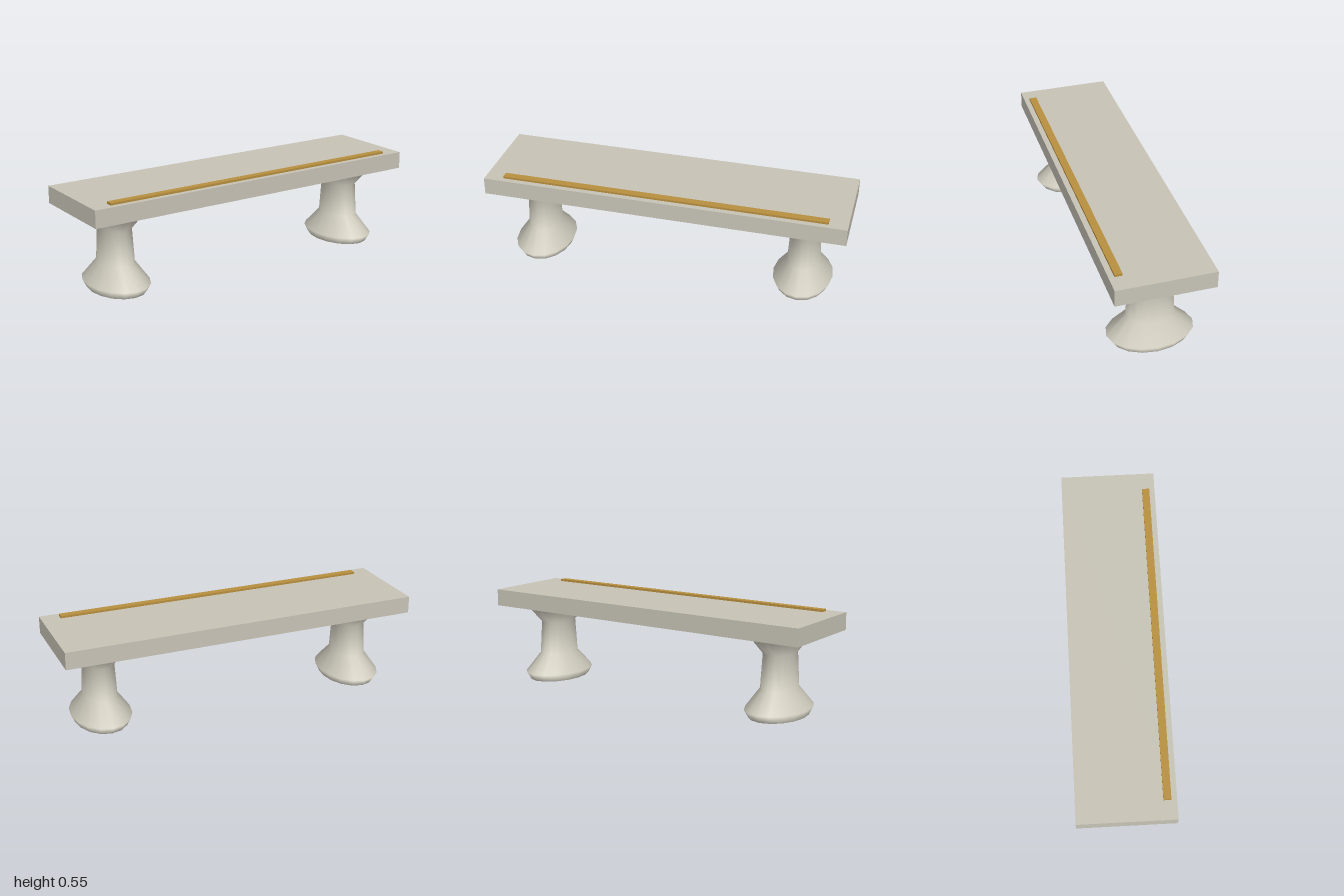
import * as THREE from 'three';

export function createModel() {
  const slabStone = new THREE.MeshStandardMaterial({ color: 0xc8c4b7 });
  slabStone.name = 'slabStone';
  const legStone = new THREE.MeshStandardMaterial({ color: 0xd9d5c7, side: THREE.DoubleSide });
  legStone.name = 'legStone';
  const brass = new THREE.MeshStandardMaterial({ color: 0xb8903f });
  brass.name = 'brass';

  const model = new THREE.Group();
  model.name = 'bench';

  const addBox = (name, material, size, position) => {
    const mesh = new THREE.Mesh(new THREE.BoxGeometry(...size), material);
    mesh.name = name;
    mesh.position.set(...position);
    model.add(mesh);
  };

  // seat slab and the thin inlay strip along its front edge
  addBox('seatSlab', slabStone, [2, 0.095, 0.526], [0, 0.4855, 0]);
  addBox('inlayStrip', brass, [1.794, 0.012, 0.041], [0, 0.539, 0.2125]);

  // turned pedestal, open below, squeezed to an oval plan
  const profile = [
    [0.207, 0], [0.236, 0.043], [0.132, 0.148], [0.118, 0.338], [0.215, 0.438],
  ].map(([r, y]) => new THREE.Vector2(r, y));
  const legGeometry = new THREE.LatheGeometry(profile, 16);
  legGeometry.scale(0.703, 1, 1);

  for (const [name, side] of [['leftLeg', 1], ['rightLeg', -1]]) {
    const leg = new THREE.Mesh(legGeometry, legStone);
    leg.name = name;
    leg.position.x = side * 0.758;
    model.add(leg);
  }
  return model;
}
